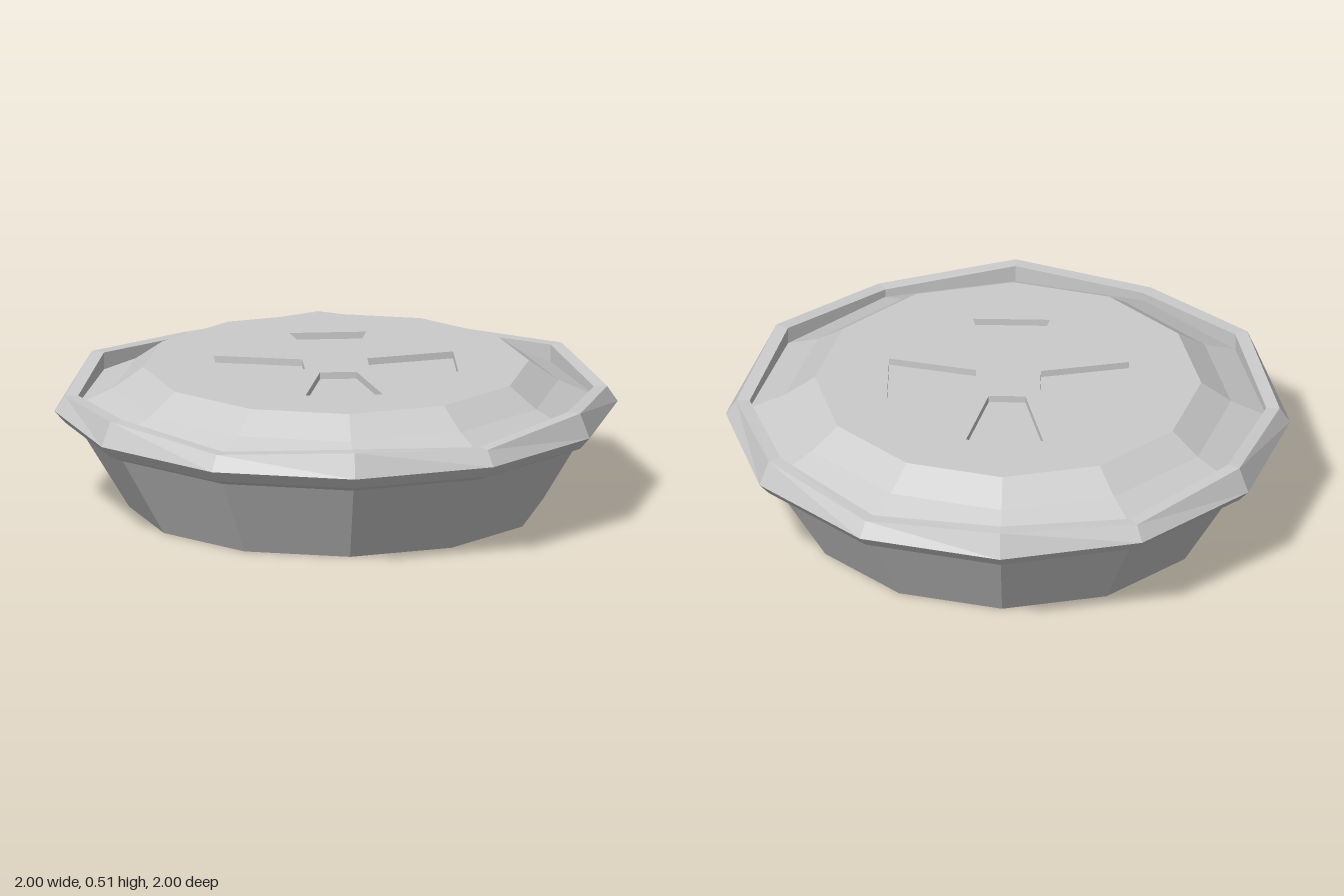
import * as THREE from 'three';

const SIDES = 12;
const TOP = 0.51, VENT_DEPTH = 0.025, CAP_R = 0.685;
const material = new THREE.MeshStandardMaterial({ color: 0xcccccc, flatShading: true });

// Twelve-sided turned part from [radius, height] pairs
function turned(points) {
  return new THREE.LatheGeometry(points.map(([r, y]) => new THREE.Vector2(r, y)), SIDES);
}

function part(name, geometry) {
  const mesh = new THREE.Mesh(geometry, material);
  mesh.name = name;
  return mesh;
}

// Corners of one tapered vent slot, turned about the centre
function ventCorners(turn) {
  const corners = [[0.065, 0.115], [0.137, 0.425], [-0.137, 0.425], [-0.065, 0.115]];
  return corners.map(([x, y]) =>
    new THREE.Vector2(x, y).rotateAround(new THREE.Vector2(), turn * Math.PI / 2));
}

export function createModel() {
  const group = new THREE.Group();
  group.name = 'pie';

  // Tapered dish with closed base
  group.add(part('dish', turned([[0, 0], [0.735, 0], [0.91, 0.29]])));

  // Rolled pastry rim; its top edge rises and falls at alternate corners
  const rim = turned([
    [0.91, 0.29], [0.963, 0.313], [1, 0.355], [0.963, 0.41], [0.915, 0.41], [0.915, 0.37],
  ]);
  const pos = rim.attributes.position;
  for (let i = 0; i < pos.count; i++) {
    const corner = Math.floor(i / 6);
    if (pos.getY(i) > 0.4 && corner % 2 === 0) pos.setY(i, 0.442);
  }
  group.add(part('rim', rim));

  // Sloping crust between rim and flat top
  group.add(part('crust', turned([[0.915, 0.38], [0.79, 0.436], [CAP_R, TOP]])));

  // Flat top with four vent slots cut through it
  const cap = new THREE.Shape();
  const ring = [];
  for (let k = 0; k < SIDES; k++) {
    const a = k / SIDES * Math.PI * 2;
    ring.push(new THREE.Vector2(Math.cos(a) * CAP_R, Math.sin(a) * CAP_R));
  }
  cap.setFromPoints(ring);
  for (let k = 0; k < 4; k++) cap.holes.push(new THREE.Path(ventCorners(k)));
  const capGeometry = new THREE.ExtrudeGeometry(cap, { depth: VENT_DEPTH, bevelEnabled: false });
  capGeometry.rotateX(-Math.PI / 2).translate(0, TOP - VENT_DEPTH, 0);
  group.add(part('crustTop', capGeometry));

  // Floors of the vent slots
  for (let k = 0; k < 4; k++) {
    const floor = new THREE.ShapeGeometry(new THREE.Shape(ventCorners(k)));
    floor.rotateX(-Math.PI / 2).translate(0, TOP - VENT_DEPTH, 0);
    group.add(part('ventFloor', floor));
  }
  return group;
}
